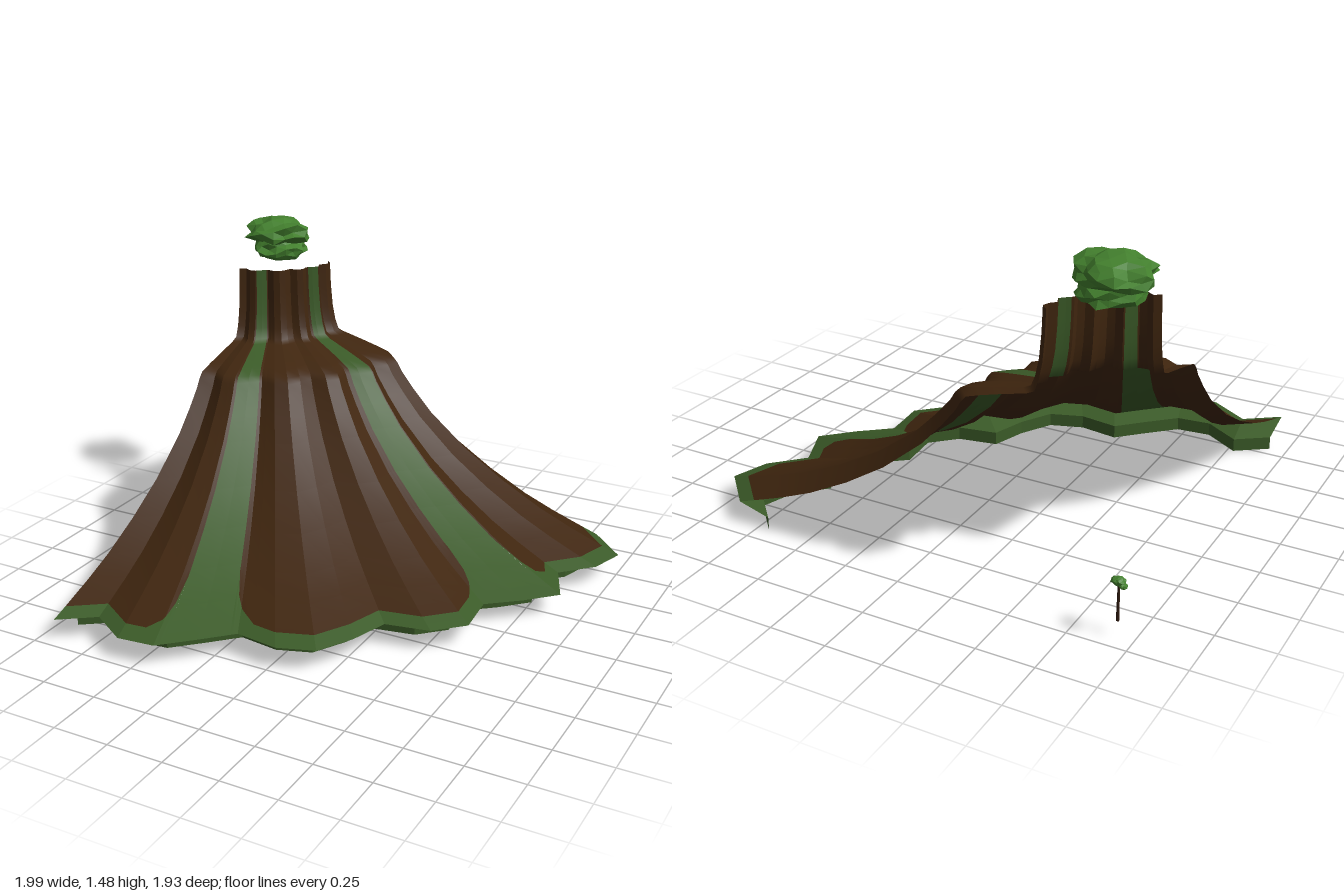
import * as THREE from 'three';
import { mergeGeometries } from 'three/addons/utils/BufferGeometryUtils.js';

const mat = (name, color, side = THREE.FrontSide) => {
  const m = new THREE.MeshStandardMaterial({ color, side });
  m.name = name;
  return m;
};

// Centre axis of the quarter mountain
const AXIS = -0.92;
// Slope profile [radius, height] from summit to rim
const PROFILE = [
  [0.335, 1.26], [0.34, 1.15], [0.35, 1.05], [0.365, 0.98], [0.385, 0.93], [0.42, 0.915],
  [0.55, 0.885], [0.63, 0.865], [0.7, 0.845], [0.725, 0.82], [0.75, 0.78], [0.82, 0.7],
  [0.92, 0.6], [1.12, 0.45], [1.32, 0.335], [1.52, 0.24], [1.72, 0.165], [1.93, 0.1],
];
const LAST = PROFILE.length - 1;
// Rim radius every 5 degrees, which makes the flutes
const RIM = [1.76, 1.93, 1.9, 1.8, 1.94, 1.87, 1.8, 1.925, 1.9, 1.78,
  1.87, 1.94, 1.9, 1.785, 1.85, 1.93, 1.91, 1.776, 1.88];

// Point at an angle, with radius scaled by the flute; straight between flute corners
function place(deg, r, y) {
  const i = Math.min(17, Math.floor(deg / 5)), f = deg / 5 - i;
  const corner = (k) => {
    const a = THREE.MathUtils.degToRad(k * 5), q = r * RIM[k] / 1.93;
    return new THREE.Vector3(AXIS + q * Math.cos(a), y, AXIS + q * Math.sin(a));
  };
  return corner(i).lerp(corner(i + 1), f);
}

function slopePoint(deg, s) {
  const i = Math.min(LAST - 1, Math.floor(s)), f = s - i;
  const [r0, y0] = PROFILE[i], [r1, y1] = PROFILE[i + 1];
  return place(deg, r0 + (r1 - r0) * f, y0 + (y1 - y0) * f);
}

// One strip of quads between two columns of points, facing outward
function strip(left, right) {
  const pos = [], idx = [];
  left.forEach((p, i) => {
    pos.push(...p.toArray(), ...right[i].toArray());
    if (i) {
      const a = 2 * i - 2;
      idx.push(a, a + 1, a + 2, a + 1, a + 3, a + 2);
    }
  });
  const g = new THREE.BufferGeometry();
  g.setAttribute('position', new THREE.Float32BufferAttribute(pos, 3));
  g.setIndex(idx);
  g.computeVertexNormals();
  return g;
}

// Brown lobes between the grassy gullies
const LOBES = [[0, 20.3], [28.3, 66], [74, 90]];

// Where the bare earth ends on the slope; corners beside the gullies are rounded
function earthEnd(deg, [a, b]) {
  const d = Math.min(a === 0 ? 99 : deg - a, b === 90 ? 99 : b - deg);
  const k = Math.min(1, d / 3);
  return 15.2 + 1.4 * Math.sqrt(1 - (1 - k) ** 2);
}

// Crumpled low-poly ball of leaves
function leafBall(center, radii, jitter, seed) {
  const g = new THREE.IcosahedronGeometry(1, 2);
  const p = g.attributes.position, v = new THREE.Vector3();
  const noise = (q, k) => {
    const n = Math.sin(Math.round(q.x * 50) * 12.99 + Math.round(q.y * 50) * 78.23
      + Math.round(q.z * 50) * 37.72 + seed + k * 5.1) * 4375.85;
    return n - Math.floor(n) - 0.5;
  };
  for (let i = 0; i < p.count; i++) {
    v.fromBufferAttribute(p, i);
    const s = 1 + jitter * noise(v, 0);
    p.setXYZ(i, v.x * s, v.y * s + jitter * noise(v, 1) * 0.6, v.z * s);
  }
  g.scale(...radii);
  g.translate(...center);
  g.computeVertexNormals();
  return g;
}

export function createModel() {
  const model = new THREE.Group();
  model.name = 'mountainQuarter';
  const earth = mat('earth', 0x40260f, THREE.DoubleSide);
  const grass = mat('grass', 0x3b5b28, THREE.DoubleSide);
  const leaves = mat('leaves', 0x43802e);
  const bark = mat('bark', 0x2e1a0e);
  leaves.flatShading = true;
  const add = (name, geo, material, parent = model) => {
    const m = new THREE.Mesh(geo, material);
    m.name = name;
    parent.add(m);
    return m;
  };

  // Column angles: flute corners, gully edges and rounded lobe corners
  const angles = new Set();
  for (let a = 0; a <= 90; a += 5) angles.add(a);
  for (const [a, b] of LOBES) {
    for (const d of [0, 0.4, 1.2, 3]) {
      if (a > 0) angles.add(a + d);
      if (b < 90) angles.add(b - d);
    }
  }
  const cols = [...angles].sort((a, b) => a - b);

  const earthParts = [], grassParts = [], skirtParts = [];
  const rows = PROFILE.map((_, i) => i);
  for (let i = 0; i < cols.length - 1; i++) {
    const pair = [cols[i], cols[i + 1]], mid = (pair[0] + pair[1]) / 2;
    const lobe = LOBES.find(([a, b]) => mid > a && mid < b);
    const column = (fn) => pair.map((d) => fn(d).map((s) => slopePoint(d, s)));
    if (lobe) {
      earthParts.push(strip(...column((d) => {
        const e = earthEnd(d, lobe);
        return [...rows.slice(0, 16), (15 + e) / 2, e];
      })));
      grassParts.push(strip(...column((d) => {
        const e = earthEnd(d, lobe);
        return [e, (e + LAST) / 2, LAST];
      })));
    } else {
      grassParts.push(strip(...column(() => rows)));
    }
  }
  // Undercut lip and upright skirt below the rim
  for (let a = 0; a < 90; a += 5) {
    const ring = (list) => [a, a + 5].map((d) => list.map(([r, y]) => place(d, r, y)));
    skirtParts.push(strip(...ring([[1.93, 0.1], [1.77, 0.06]])));
    skirtParts.push(strip(...ring([[1.77, 0.06], [1.77, 0]])));
  }
  add('earthSlope', mergeGeometries(earthParts), earth);
  add('grassGulliesAndRim', mergeGeometries(grassParts), grass);
  add('grassSkirt', mergeGeometries(skirtParts), grass);

  // Crumpled foliage over the summit
  const foliage = new THREE.Group();
  foliage.name = 'summitFoliage';
  model.add(foliage);
  add('upperLeaves', leafBall([-0.83, 1.405, -0.81], [0.15, 0.065, 0.14], 0.38, 1), leaves, foliage);
  add('lowerLeaves', leafBall([-0.81, 1.335, -0.8], [0.13, 0.06, 0.13], 0.3, 7), leaves, foliage);

  // Tiny tree standing behind the corner
  const tree = new THREE.Group();
  tree.name = 'smallTree';
  model.add(tree);
  const trunk = add('trunk', new THREE.CylinderGeometry(0.004, 0.007, 0.17, 6), bark, tree);
  trunk.position.set(-0.93, 0.155, -0.928);
  add('crown', leafBall([-0.935, 0.25, -0.94], [0.03, 0.017, 0.025], 0.25, 3), leaves, tree);
  add('sideCrown', leafBall([-0.958, 0.24, -0.95], [0.017, 0.011, 0.017], 0.25, 5), leaves, tree);
  return model;
}
